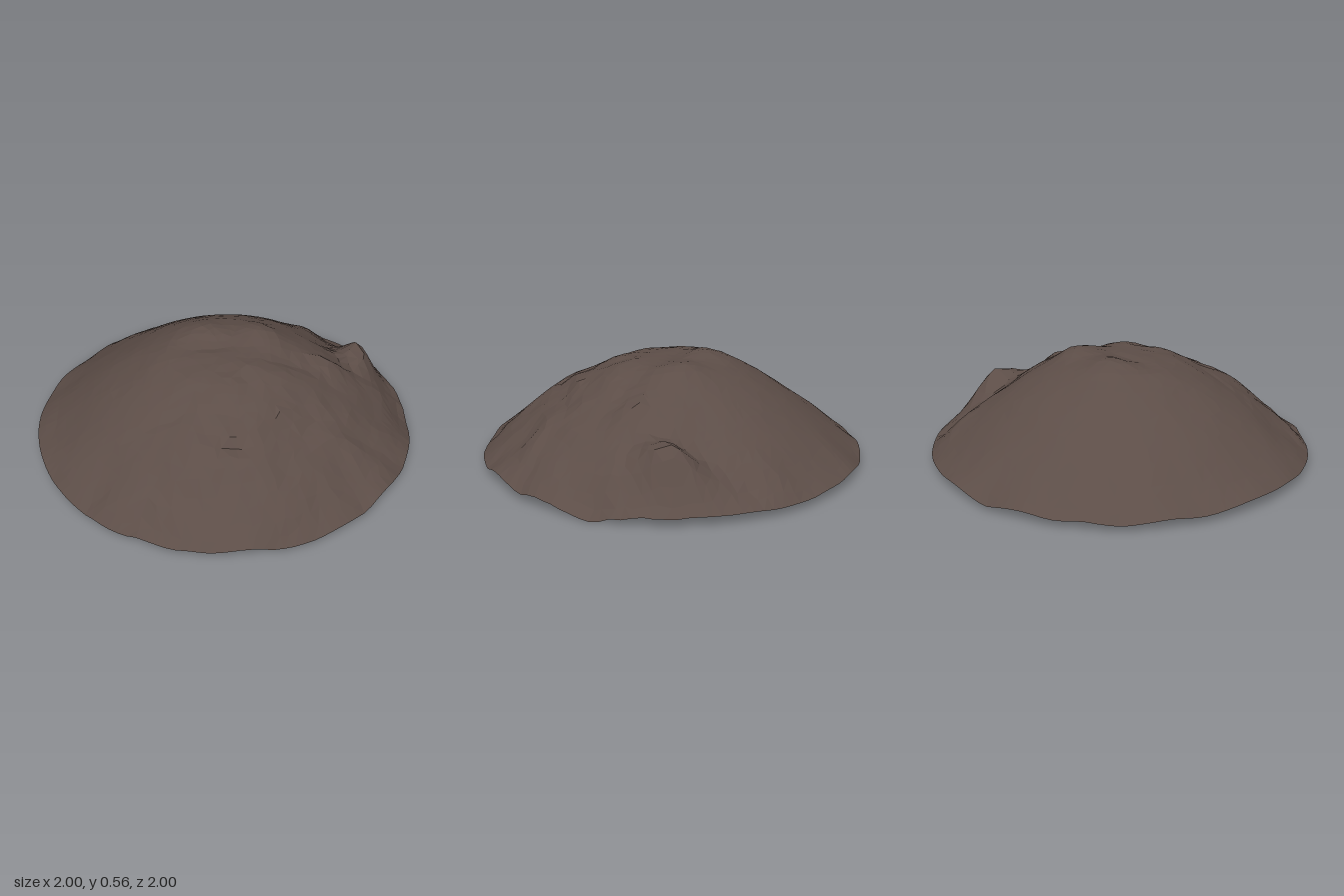
import * as THREE from 'three';

const RINGS = 20;

// Dome profile: radius -> height, in steps of 0.1
const PROFILE = [0.558, 0.56, 0.553, 0.535, 0.492, 0.437, 0.372, 0.3, 0.224, 0.146, 0.068];

// Local humps and hollows: x, z, radius in x, radius in z, height
const FEATURES = [
  [-0.11, -0.16, 0.14, 0.12, 0.04],   // summit
  [0.23, -0.12, 0.13, 0.12, 0.035],   // second summit
  [-0.08, -0.02, 0.13, 0.05, -0.02],  // notch below the summit
  [0.77, -0.26, 0.1, 0.16, 0.145],    // shoulder knob
  [0.63, -0.38, 0.07, 0.15, -0.03],   // gully behind the knob
  [0.57, 0.02, 0.1, 0.08, 0.03],      // side hump
  [0.62, 0.33, 0.12, 0.12, 0.025],    // front side hump
  [0.52, -0.68, 0.09, 0.15, 0.035],   // back ridge
  [0.66, -0.6, 0.06, 0.12, -0.025],   // back gully
  [0.36, 0.1, 0.2, 0.06, -0.02],      // scarp under the second summit
  [-0.05, 0.6, 0.4, 0.12, 0.015],     // front swell
  [1, 0.05, 0.1, 0.13, -0.06],        // dip in the rim
  [1, -0.2, 0.08, 0.1, 0.03],         // raised rim
  [-1, 0, 0.08, 0.14, 0.03],
];

// Smooth value noise on a hashed lattice, from -1 to 1
function hash(i, j) {
  const s = Math.sin(i * 127.1 + j * 311.7) * 43758.5453;
  return (s - Math.floor(s)) * 2 - 1;
}

function noise(x, z) {
  const i = Math.floor(x), j = Math.floor(z);
  const u = THREE.MathUtils.smoothstep(x - i, 0, 1);
  const v = THREE.MathUtils.smoothstep(z - j, 0, 1);
  const { lerp } = THREE.MathUtils;
  return lerp(lerp(hash(i, j), hash(i + 1, j), u), lerp(hash(i, j + 1), hash(i + 1, j + 1), u), v);
}

function groundHeight(x, z) {
  const r = Math.min(Math.hypot(x, z), 1);
  const step = Math.min(Math.floor(r * 10), 9);
  let y = THREE.MathUtils.lerp(PROFILE[step], PROFILE[step + 1], r * 10 - step);
  for (const [fx, fz, rx, rz, h] of FEATURES) {
    y += h * Math.exp(-(((x - fx) / rx) ** 2) - ((z - fz) / rz) ** 2);
  }
  // Broken ledges, strongest on the front and left flanks
  const rough = THREE.MathUtils.smoothstep(z + 0.5 * x, -0.1, 0.6);
  y += 0.018 * rough * noise(3.5 * x + 5, 10 * z + 2 * noise(4 * x, 4 * z));
  // General lumpiness
  y += 0.008 * noise(6 * x + 20, 6 * z + 20);
  y += (0.002 + 0.006 * rough) * noise(13 * x + 40, 13 * z + 40);
  // Uneven rim
  const a = Math.atan2(z, x);
  return y + 0.009 * r ** 8 * (Math.sin(9 * a + 1) + 0.6 * Math.sin(17 * a + 2));
}

// Disc of evenly sized triangles: ring k holds 6k points
function discGeometry() {
  const points = [0, 0, 0];
  const faces = [];
  const index = (k, n) => (k === 0 ? 0 : 1 + 3 * k * (k - 1) + (n % (6 * k)));
  for (let k = 1; k <= RINGS; k++) {
    for (let n = 0; n < 6 * k; n++) {
      const inner = k < RINGS ? 1 : 0;
      const a = ((n + 0.3 * inner * hash(k, n)) / (6 * k)) * Math.PI * 2;
      const r = (k + 0.25 * inner * hash(n, k + 50)) / RINGS;
      points.push(r * Math.cos(a), 0, r * Math.sin(a));
    }
    for (let s = 0; s < 6; s++) {
      for (let j = 0; j < k; j++) {
        const o = s * k + j, i = s * (k - 1) + j;
        faces.push(index(k - 1, i), index(k, o + 1), index(k, o));
        if (j < k - 1) faces.push(index(k - 1, i), index(k - 1, i + 1), index(k, o + 1));
      }
    }
  }
  const geometry = new THREE.BufferGeometry();
  geometry.setAttribute('position', new THREE.Float32BufferAttribute(points, 3));
  geometry.setIndex(faces);
  return geometry;
}

export function createModel() {
  const earth = new THREE.MeshStandardMaterial({ color: 0x5c4d47, flatShading: true, side: THREE.DoubleSide });
  earth.name = 'brown earth';

  // Open shell: a flat disc lifted into a mound
  const geometry = discGeometry();
  const p = geometry.attributes.position;
  for (let i = 0; i < p.count; i++) p.setY(i, groundHeight(p.getX(i), p.getZ(i)));

  // Rest the lowest rim point on the ground
  geometry.computeBoundingBox();
  geometry.translate(0, -geometry.boundingBox.min.y, 0);
  geometry.computeVertexNormals();

  const mound = new THREE.Mesh(geometry, earth);
  mound.name = 'mound';
  const group = new THREE.Group();
  group.name = 'earthMound';
  group.add(mound);
  return group;
}
